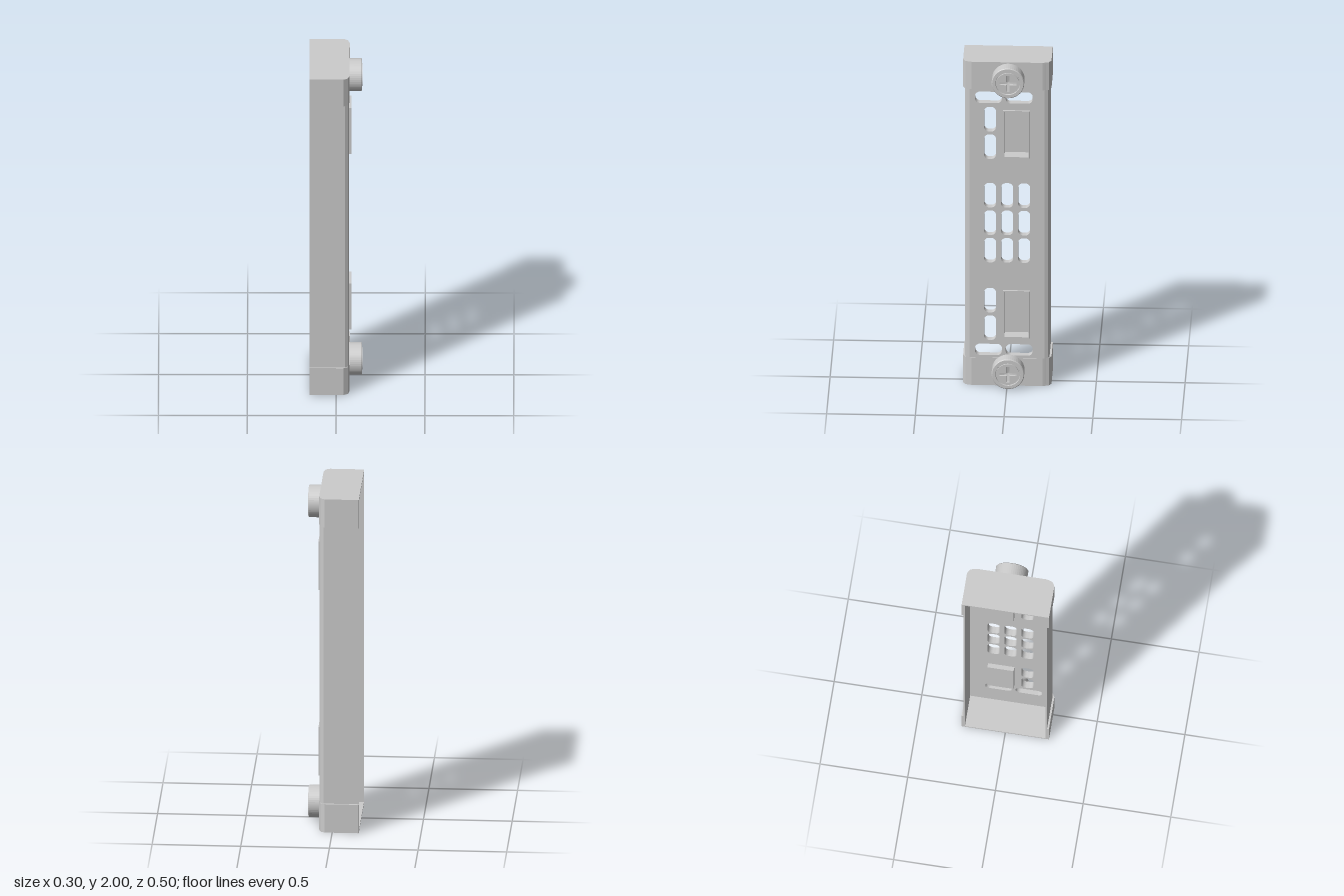
import * as THREE from 'three';

const material = new THREE.MeshStandardMaterial({ color: 0xcccccc, side: THREE.DoubleSide });

function add(parent, name, geometry, x = 0, y = 0, z = 0) {
  const mesh = new THREE.Mesh(geometry, material);
  mesh.name = name;
  mesh.position.set(x, y, z);
  parent.add(mesh);
  return mesh;
}

// Closed outline from [a, b] pairs
const outline = (points, Kind = THREE.Shape) => new Kind(points.map(([a, b]) => new THREE.Vector2(a, b)));

const rect = (a, b, w, h, Kind) => outline([
  [a - w / 2, b - h / 2], [a + w / 2, b - h / 2], [a + w / 2, b + h / 2], [a - w / 2, b + h / 2],
], Kind);

// Slot with rounded corners
function slot(a, b, w, h, r = 0.028) {
  const p = new THREE.Path();
  const u = w / 2 - r, v = h / 2 - r;
  p.absarc(a + u, b + v, r, 0, Math.PI / 2);
  p.absarc(a - u, b + v, r, Math.PI / 2, Math.PI);
  p.absarc(a - u, b - v, r, Math.PI, Math.PI * 1.5);
  p.absarc(a + u, b - v, r, Math.PI * 1.5, Math.PI * 2);
  p.closePath();
  return p;
}

// Shape drawn in (x, z), extruded upwards
const extrudeUp = (shape, depth) =>
  new THREE.ExtrudeGeometry(shape, { depth, bevelEnabled: false }).rotateX(-Math.PI / 2);

// Shape drawn in (-z, y), extruded towards +x
const extrudeOut = (shape, depth) =>
  new THREE.ExtrudeGeometry(shape, { depth, bevelEnabled: false, curveSegments: 8 }).rotateY(Math.PI / 2);

// Mirrors a half profile across z = 0
const mirrored = (half) => [...half, ...half.map(([x, z]) => [x, -z]).reverse()];

const capHalf = [[-0.15, 0.249], [0.042, 0.249], [0.066, 0.235], [0.076, 0.2]];
const capInner = [[-0.15, 0.233], [0.04, 0.233], [0.06, 0.223], [0.066, 0.2]];
const bodyHalf = [[-0.15, 0.238], [0.05, 0.238], [0.067, 0.229], [0.073, 0.212]];
const bodyInner = [[-0.15, 0.23], [0.035, 0.23], [0.035, 0.212]];

// Open-backed channel section
const channel = (outer, inner) => outline([...mirrored(outer), ...mirrored(inner).reverse()]);

function createScrew() {
  const screw = new THREE.Group();
  screw.name = 'screw';
  const profile = [[0.092, 0], [0.092, 0.066], [0.088, 0.07], [0.07, 0.07], [0.068, 0.064], [0.064, 0.064], [0, 0.05]];
  const head = new THREE.LatheGeometry(profile.map(([r, h]) => new THREE.Vector2(r, h)), 48);
  head.rotateZ(-Math.PI / 2);
  add(screw, 'screwHead', THREE_flat(head));
  // Centre disc with a cross recess
  const disc = new THREE.Shape().absarc(0, 0, 0.064, 0, Math.PI * 2);
  const l = 0.048, w = 0.009;
  disc.holes.push(outline([
    [l, -w], [l, w], [w, w], [w, l], [-w, l], [-w, w],
    [-l, w], [-l, -w], [-w, -w], [-w, -l], [w, -l], [w, -w],
  ], THREE.Path));
  const face = new THREE.ExtrudeGeometry(disc, { depth: 0.022, bevelEnabled: false, curveSegments: 24 });
  add(screw, 'screwFace', face.rotateY(Math.PI / 2), 0.05);
  return screw;
}

// Crisp edges on the lathed head
function THREE_flat(geometry) {
  const flat = geometry.toNonIndexed();
  flat.computeVertexNormals();
  return flat;
}

export function createModel() {
  const model = new THREE.Group();
  model.name = 'ventedPanelModule';

  // Side walls and rounded front corners
  const walls = new THREE.Shape();
  walls.setFromPoints(channel(bodyHalf, bodyInner).getPoints());
  for (const s of [1, -1]) {
    const side = [...bodyHalf, ...bodyInner.slice().reverse()].map(([x, z]) => [x, s * z]);
    add(model, s > 0 ? 'frontWall' : 'backWall', extrudeUp(outline(side), 1.98), 0, 0.01, 0);
  }

  // Face plate with vent slots and two window openings
  const plate = rect(0, 1, 0.424, 1.98);
  for (const s of [1, -1]) {
    const y = (v) => 1 + s * v;
    plate.holes.push(slot(-0.105, y(0.78), 0.152, 0.07), slot(0.068, y(0.78), 0.152, 0.07));
    plate.holes.push(slot(-0.096, y(0.645), 0.068, 0.152), slot(-0.096, y(0.475), 0.068, 0.152));
    plate.holes.push(rect(0.053, y(0.557), 0.146, 0.288, THREE.Path));
  }
  for (const a of [-0.096, 0, 0.096]) {
    for (const b of [0.835, 1.005, 1.175]) plate.holes.push(slot(a, b, 0.068, 0.152));
  }
  add(model, 'facePlate', extrudeOut(plate, 0.038), 0.035);

  for (const s of [1, -1]) {
    const end = s > 0 ? 'top' : 'bottom';

    // Recessed window with a raised rim
    const rim = rect(0.053, 1 + s * 0.557, 0.15, 0.292);
    rim.holes.push(rect(0.053, 1 + s * 0.557, 0.136, 0.278, THREE.Path));
    add(model, end + 'WindowRim', extrudeOut(rim, 0.075), 0.01);
    add(model, end + 'WindowFloor', new THREE.BoxGeometry(0.006, 0.29, 0.148), 0.013, 1 + s * 0.557, -0.053);

    // End cap: sleeve and closing plate
    add(model, end + 'CapSleeve', extrudeUp(channel(capHalf, capInner), 0.17), 0, s > 0 ? 1.83 : 0);
    add(model, end + 'CapPlate', extrudeUp(outline(mirrored(capHalf)), 0.01), 0, s > 0 ? 1.99 : 0);

    const screw = createScrew();
    screw.position.set(0.076, 1 + s * 0.9, -0.007);
    model.add(screw);
  }
  return model;
}
